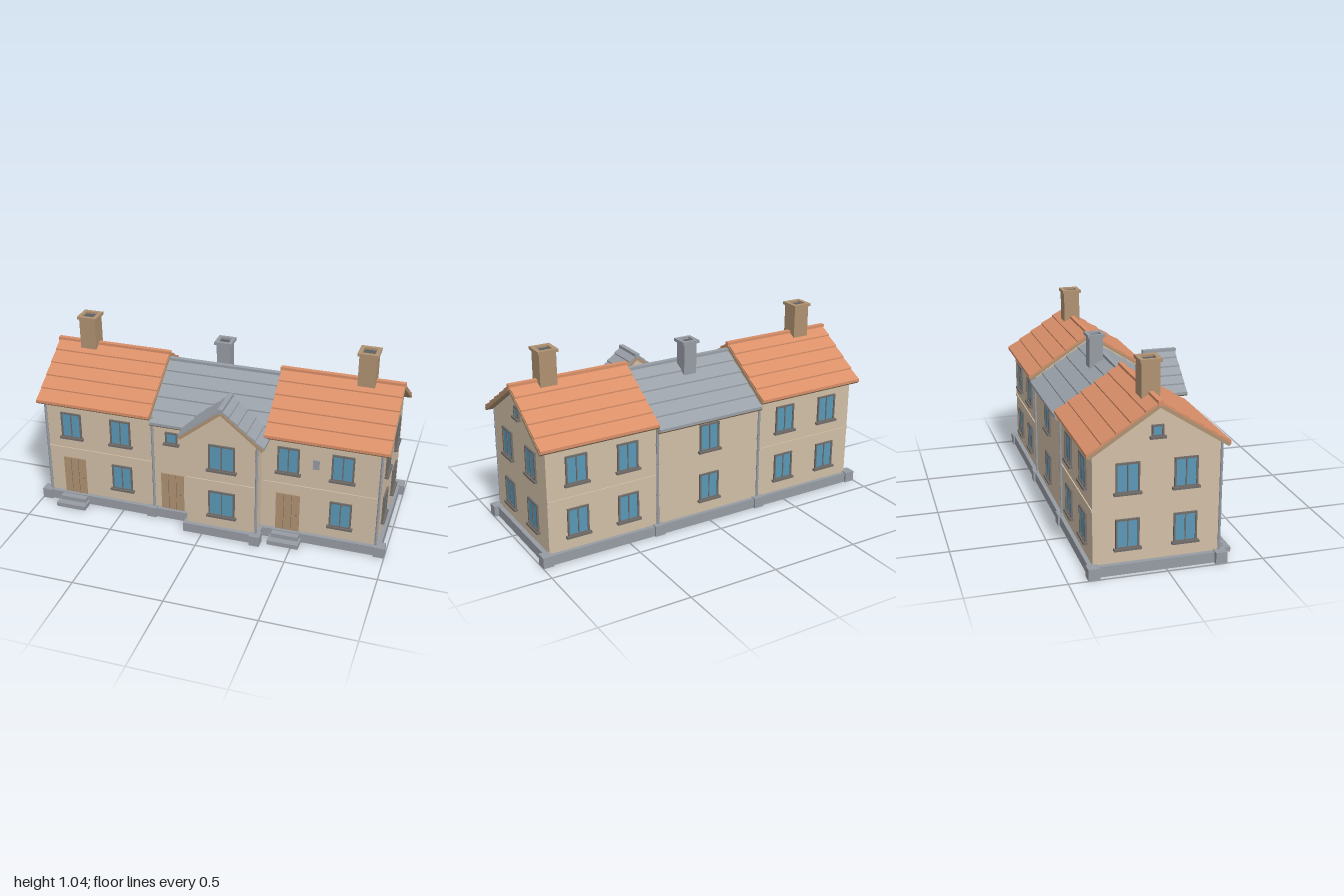
import * as THREE from 'three';

const mat = (name, color) => {
  const m = new THREE.MeshStandardMaterial({ color });
  m.name = name;
  return m;
};

export function createModel() {
  const M = {
    wall: mat('cream render', 0xd1bfa7),
    stone: mat('grey stone', 0x979ca4),
    tile: mat('orange tile', 0xda9069),
    slate: mat('grey slate', 0x9aa0a8),
    wood: mat('tan brown', 0xb09272),
    glass: mat('blue glass', 0x5a98b8),
    trim: mat('dark trim', 0x706c69),
    soot: mat('dark soot', 0x5c6065),
  };
  const root = new THREE.Group();
  root.name = 'terracedHouse';

  const add = (parent, name, geo, m, x = 0, y = 0, z = 0) => {
    const mesh = new THREE.Mesh(geo, m);
    mesh.name = name;
    mesh.position.set(x, y, z);
    parent.add(mesh);
    return mesh;
  };
  // Box given by its min and max corners
  const box = (parent, name, m, x0, x1, y0, y1, z0, z1) =>
    add(parent, name, new THREE.BoxGeometry(x1 - x0, y1 - y0, z1 - z0), m,
      (x0 + x1) / 2, (y0 + y1) / 2, (z0 + z1) / 2);
  const group = (name, x = 0, y = 0, z = 0, turn = 0) => {
    const g = new THREE.Group();
    g.name = name;
    g.position.set(x, y, z);
    g.rotation.y = turn;
    root.add(g);
    return g;
  };
  // Extrusion of an outline in xy, centred on z
  const prism = (pts, depth, hole) => {
    const s = new THREE.Shape(pts.map(p => new THREE.Vector2(...p)));
    if (hole) s.holes.push(new THREE.Path(hole.map(p => new THREE.Vector2(...p))));
    return new THREE.ExtrudeGeometry(s, { depth, bevelEnabled: false }).translate(0, 0, -depth / 2);
  };

  // Gabled wall block: gable outline in local xy, ridge along local z
  const gableWall = (name, half, eave, apex, len, x, z, turn) => {
    const g = group(name, x, 0, z, turn);
    add(g, name + 'Body', prism([[-half, 0.03], [half, 0.03], [half, eave], [0, apex], [-half, eave]], len), M.wall);
  };

  // Gabled roof: timber deck, five lapped courses a side and a ridge strip
  const roof = (name, m, half, slope, len, x, y, z, turn) => {
    const g = group(name, x, y, z, turn);
    const line = (px, off) => [px, -slope * Math.abs(px) + off];
    const inner = half - 0.013;
    add(g, 'roofDeck', prism([line(0, -0.012), line(half, -0.012), line(inner, -0.033),
      line(0, -0.033), line(-inner, -0.033), line(-half, -0.012)], len), M.wood);
    for (const s of [-1, 1]) {
      for (let i = 0; i < 5; i++) {
        const a = s * half * i / 5, b = s * half * (i + 1) / 5;
        add(g, 'roofCourse', prism([line(a, -0.0125), line(b, -0.0125), line(b, 0.003), line(a, -0.005)], len - 0.006), m);
      }
    }
    box(g, 'ridgeStrip', m, -0.013, 0.013, -0.024, 0.003, -len / 2 - 0.003, len / 2 + 0.003);
  };

  // Window facing local +z, centred, with frame, panes and sill
  const windowUnit = (x, y, z, turn, w = 0.12, h = 0.155, split = true) => {
    const g = group('window', x, y, z, turn);
    const W = w / 2, H = h / 2, t = 0.009;
    add(g, 'windowFrame', prism([[-W, -H], [W, -H], [W, H], [-W, H]], 0.02,
      [[-W + t, -H + t], [-W + t, H - t], [W - t, H - t], [W - t, -H + t]]), M.trim);
    box(g, 'windowGlass', M.glass, -W + t, W - t, -H + t, H - t, 0, 0.004);
    if (split) box(g, 'windowMullion', M.trim, -0.003, 0.003, -H + t, H - t, 0, 0.008);
    box(g, 'windowSill', M.trim, -W - 0.01, W + 0.01, -H - 0.008, -H + 0.004, -0.005, 0.02);
  };

  const door = (x, z) => {
    const g = group('door', x, 0, z);
    box(g, 'doorLeaf', M.wood, -0.066, 0.066, 0.055, 0.283, -0.005, 0.006);
    for (const px of [-0.022, 0.022]) box(g, 'doorGroove', M.trim, px - 0.001, px + 0.001, 0.058, 0.28, 0, 0.007);
    add(g, 'doorKnob', new THREE.SphereGeometry(0.005, 10, 8), M.trim, 0.05, 0.16, 0.01);
  };

  // Drainpipe with clips
  const pipe = (x, z, top) => {
    const g = group('drainpipe', x, 0, z);
    add(g, 'pipe', new THREE.CylinderGeometry(0.007, 0.007, top - 0.04, 12), M.stone, 0, (top + 0.04) / 2, 0);
    for (const y of [0.12, 0.23, 0.41, 0.52]) {
      add(g, 'pipeClip', new THREE.CylinderGeometry(0.0095, 0.0095, 0.008, 12), M.stone, 0, y, 0);
    }
  };

  const chimney = (name, m, x, z, half, y0, y1, capHalf, capH) => {
    const g = group(name, x, 0, z);
    box(g, 'chimneyStack', m, -half, half, y0, y1, -half, half);
    const c = capHalf, o = capHalf * 0.6;
    const cap = prism([[-c, -c], [c, -c], [c, c], [-c, c]], capH, [[-o, -o], [-o, o], [o, o], [o, -o]]);
    add(g, 'chimneyCap', cap.rotateX(-Math.PI / 2), m, 0, y1 + capH / 2, 0);
    box(g, 'chimneyFlue', M.soot, -o, o, y1, y1 + 0.004, -o, o);
  };

  const Q = Math.PI / 2, ZC = -0.0465, FRONT = 0.275, BACK = -0.368;

  // Walls
  for (const s of [-1, 1]) gableWall('endHouseWall', 0.3215, 0.637, 0.845, 0.63, s * 0.635, ZC, Q);
  gableWall('middleHouseWall', 0.3215, 0.6, 0.808, 0.65, 0, ZC, Q);
  gableWall('bayWall', 0.1975, 0.612, 0.772, 0.15, 0.1075, 0.29, 0);

  // Roofs
  for (const s of [-1, 1]) roof('tiledRoof', M.tile, 0.359, 0.647, 0.67, s * 0.655, 0.874, ZC, Q);
  roof('slateRoof', M.slate, 0.355, 0.647, 0.645, 0, 0.838, ZC, Q);
  roof('bayRoof', M.slate, 0.237, 0.81, 0.19, 0.1125, 0.804, 0.306, 0);

  // Chimneys
  for (const x of [-0.795, 0.79]) chimney('brownChimney', M.wood, x, -0.048, 0.047, 0.78, 1.02, 0.056, 0.016);
  chimney('greyChimney', M.stone, -0.018, -0.106, 0.038, 0.72, 0.945, 0.049, 0.017);

  // Plinth and corner blocks
  const plinth = group('plinth');
  box(plinth, 'mainPlinth', M.stone, -0.975, 0.975, 0, 0.055, -0.39, 0.298);
  box(plinth, 'bayPlinth', M.stone, -0.108, 0.323, 0, 0.054, 0.25, 0.388);
  const blocks = [[-0.97, 0.28], [0.97, 0.28], [-0.97, -0.372], [0.97, -0.372],
    [-0.325, 0.28], [0.305, 0.38], [-0.32, -0.372], [0.32, -0.372]];
  for (const [x, z] of blocks) {
    box(plinth, 'plinthBlock', M.stone, x - 0.029, x + 0.029, 0, 0.06, z - 0.029, z + 0.03);
  }

  // Drainpipes
  for (const [x, z, top] of [[-0.95, 0.281, 0.64], [0.947, 0.281, 0.64], [-0.315, 0.281, 0.63],
    [0.305, 0.372, 0.61], [-0.32, -0.373, 0.63], [0.32, -0.373, 0.63]]) pipe(x, z, top);

  // String courses between the storeys
  const bands = group('stringCourses');
  for (const s of [-1, 1]) {
    const a = s < 0 ? -0.95 : 0.32;
    box(bands, 'frontBand', M.wall, a, a + 0.63, 0.334, 0.347, FRONT - 0.01, FRONT + 0.006);
    box(bands, 'backBand', M.wall, a, a + 0.63, 0.334, 0.347, BACK - 0.006, BACK + 0.01);
  }
  box(bands, 'bayBand', M.wall, -0.09, 0.305, 0.334, 0.347, 0.355, 0.371);

  // Front openings
  const LOW = 0.206, HIGH = 0.495;
  for (const x of [-0.8, 0.452]) {
    windowUnit(x, HIGH, FRONT, 0);
    windowUnit(x + 0.294, HIGH, FRONT, 0);
    windowUnit(x + 0.294, LOW, FRONT, 0);
    door(x + 0.004, FRONT);
    const steps = group('doorSteps', x + 0.003, 0, 0);
    box(steps, 'lowerStep', M.stone, -0.087, 0.087, 0, 0.025, 0.28, 0.372);
    box(steps, 'upperStep', M.stone, -0.075, 0.075, 0, 0.05, 0.28, 0.333);
  }
  door(-0.205, FRONT);
  windowUnit(-0.205, 0.515, FRONT, 0, 0.07, 0.07, false);
  for (const y of [LOW, HIGH]) windowUnit(0.11, y, 0.365, 0, 0.148);
  box(root, 'wallVent', M.stone, 0.585, 0.62, 0.466, 0.52, FRONT - 0.005, FRONT + 0.006);

  // Back and end windows
  for (const y of [LOW, HIGH]) {
    for (const x of [-0.785, -0.495, 0, 0.495, 0.785]) windowUnit(x, y, BACK, Math.PI);
    for (const s of [-1, 1]) {
      for (const z of [0.1, -0.194]) windowUnit(s * 0.95, y, z, s * Q);
    }
  }
  for (const s of [-1, 1]) windowUnit(s * 0.95, 0.718, -0.047, s * Q, 0.06, 0.06, false);

  return root;
}
